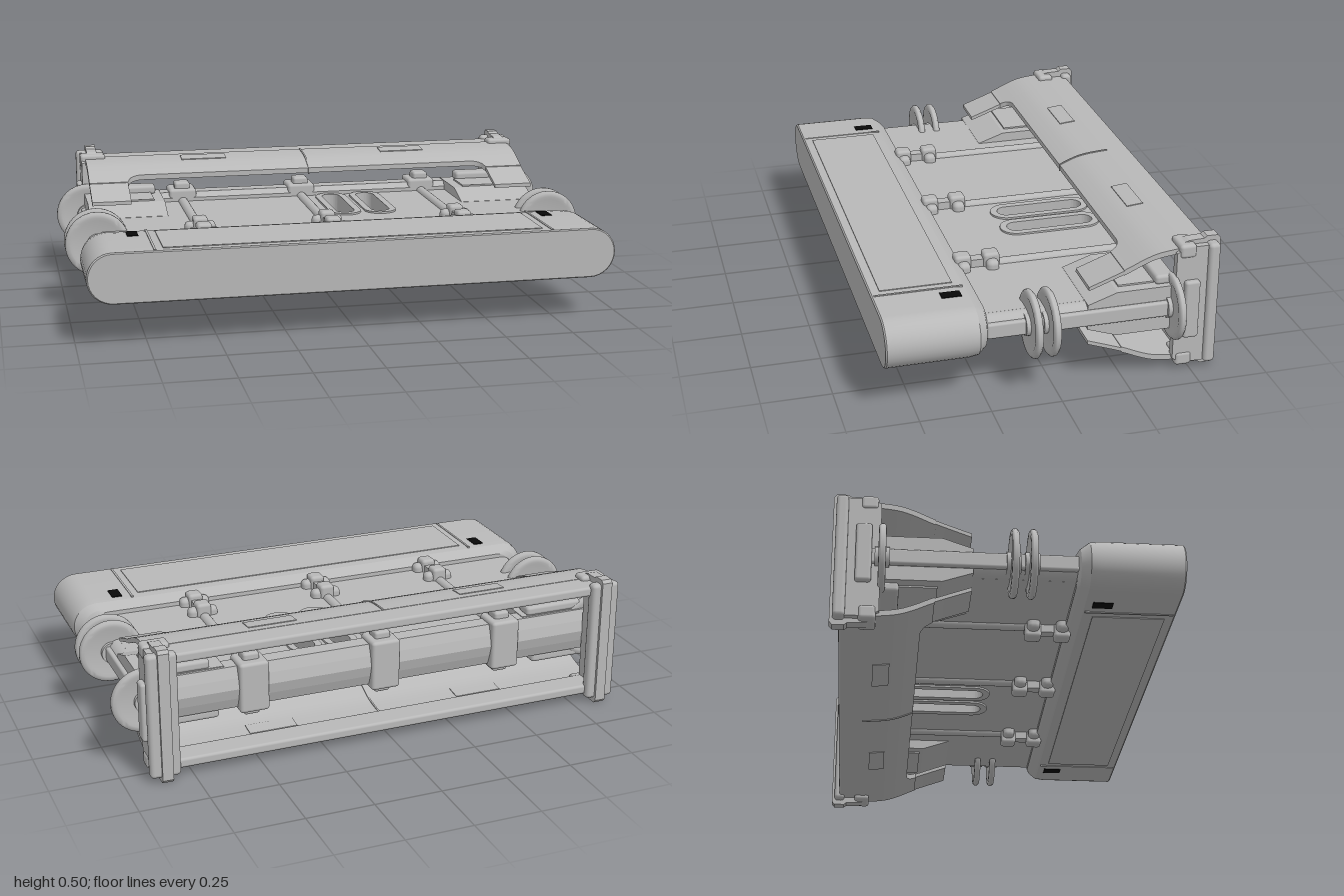
import * as THREE from 'three';
import { toCreasedNormals } from 'three/addons/utils/BufferGeometryUtils.js';
import { RoundedBoxGeometry } from 'three/addons/geometries/RoundedBoxGeometry.js';

export function createModel() {
  const grey = new THREE.MeshStandardMaterial({ color: 0xb8b8b8 });
  grey.name = 'body grey';
  const black = new THREE.MeshStandardMaterial({ color: 0x080808 });
  black.name = 'vent black';

  // The body is symmetric about its mid height, so it is built around y = 0
  const body = new THREE.Group();
  body.name = 'body';
  body.position.y = 0.25;

  const add = (name, geo, mat = grey) => {
    const m = new THREE.Mesh(geo, mat);
    m.name = name;
    body.add(m);
    return m;
  };
  // Places a part and its half-turn copy (swaps left/right and top/bottom)
  const twice = (name, geo, mat = grey) => {
    add(name, geo, mat);
    add(name, geo, mat).rotation.z = Math.PI;
  };
  // Box from min/max ranges, optionally with rounded edges
  const box = (x0, x1, y0, y1, z0, z1, r = 0) => {
    const s = [x1 - x0, y1 - y0, z1 - z0];
    const g = r ? new RoundedBoxGeometry(...s, 2, r) : new THREE.BoxGeometry(...s);
    return g.translate((x0 + x1) / 2, (y0 + y1) / 2, (z0 + z1) / 2);
  };
  // Rod along z
  const rod = (x, y, z0, z1, r) =>
    new THREE.CylinderGeometry(r, r, z1 - z0, 24).rotateX(Math.PI / 2).translate(x, y, (z0 + z1) / 2);
  // Side profile of [z, y] points extruded from x0 to x1
  const sideExtrude = (pts, x0, x1) =>
    new THREE.ExtrudeGeometry(new THREE.Shape(pts.map(p => new THREE.Vector2(...p))),
      { depth: x1 - x0, bevelEnabled: false }).rotateY(-Math.PI / 2).translate(x1, 0, 0);

  // Front bumper: capsule sections lofted along z
  const capsule = (hx, hy) => {
    const pts = [];
    for (const side of [1, -1])
      for (let i = 0; i <= 16; i++) {
        const a = side * Math.PI / 2 - Math.PI / 2 + (i / 16 - 0.5) * Math.PI + (side < 0 ? 2 * Math.PI : 0);
        pts.push([side * (hx - hy) + Math.cos(a) * hy, Math.sin(a) * hy]);
      }
    return pts;
  };
  const sections = [[0.235, 0.89, 0.062], [0.245, 0.925, 0.07], [0.275, 0.955, 0.088],
    [0.31, 0.96, 0.092], [0.595, 0.96, 0.092], [0.6, 0.955, 0.088]];
  const pos = [], idx = [];
  const n = 34;
  for (const [z, hx, hy] of sections) for (const [x, y] of capsule(hx, hy)) pos.push(x, y, z);
  for (let s = 0; s < sections.length - 1; s++)
    for (let i = 0; i < n; i++) {
      const a = s * n + i, b = s * n + (i + 1) % n;
      idx.push(a, b, b + n, a, b + n, a + n);
    }
  const last = (sections.length - 1) * n;
  for (let i = 1; i < n - 1; i++) idx.push(0, i + 1, i, last, last + i, last + i + 1);
  const loft = new THREE.BufferGeometry();
  loft.setAttribute('position', new THREE.Float32BufferAttribute(pos, 3));
  loft.setIndex(idx);
  add('bumper', toCreasedNormals(loft, 0.35));
  twice('bumperPanel', box(-0.69, 0.69, 0.085, 0.095, 0.31, 0.565));
  for (const x of [-0.775, 0.775])
    twice('ventMark', box(x - 0.02, x + 0.02, 0.088, 0.0945, 0.3, 0.37), black);
  for (const x of [-0.72, 0.72])
    twice('bumperRib', box(x - 0.004, x + 0.004, 0.088, 0.0945, 0.28, 0.59));

  // Central deck with two slots
  const slot = (Type, x, r) => {
    const s = new Type();
    s.absarc(x, -0.05, r, 0, Math.PI, false);
    s.absarc(x, -0.31, r, Math.PI, 2 * Math.PI, false);
    s.closePath();
    return s;
  };
  const slab = (shape, y0, y1) =>
    new THREE.ExtrudeGeometry(shape, { depth: y1 - y0, bevelEnabled: false, curveSegments: 16 })
      .rotateX(Math.PI / 2).translate(0, y1, 0);
  const deck = new THREE.Shape([[-0.85, -0.45], [0.85, -0.45], [0.85, 0.25], [-0.85, 0.25]]
    .map(p => new THREE.Vector2(...p)));
  for (const x of [0.095, 0.235]) {
    deck.holes.push(slot(THREE.Path, x, 0.036));
    const rim = slot(THREE.Shape, x, 0.062);
    rim.holes.push(slot(THREE.Path, x, 0.036));
    add('slotRim', toCreasedNormals(slab(rim, -0.053, 0.053), 0.5));
  }
  add('deck', toCreasedNormals(slab(deck, -0.046, 0.046), 0.5));
  twice('deckEdge', rod(0.852, 0, -0.46, 0.25, 0.046));
  twice('sideRail', box(0.88, 0.905, -0.028, 0.028, -0.47, 0.24, 0.008));

  // Pipes and clips across the deck
  for (const x of [-0.5, -0.015, 0.49]) {
    for (const y of [0.042, -0.042]) add('pipe', rod(x, y, -0.42, 0.24, 0.02));
    for (const z of [0.12, 0.225]) {
      add('clip', box(x - 0.058, x + 0.058, -0.078, 0.078, z - 0.023, z + 0.023, 0.018));
      add('clipTop', box(x - 0.028, x + 0.028, -0.096, 0.096, z - 0.03, z + 0.03, 0.012));
    }
    add('clipBridge', box(x - 0.02, x + 0.02, -0.075, 0.075, 0.12, 0.225));
    add('rearClip', box(x - 0.055, x + 0.055, -0.095, 0.095, -0.485, -0.37, 0.012));
    add('rearClipTop', box(x - 0.03, x + 0.03, -0.12, 0.12, -0.45, -0.385, 0.01));
  }

  // Rear beam with a pointed back edge, and ramps at both ends
  add('rearBeam', sideExtrude([[-0.37, -0.06], [-0.39, -0.08], [-0.45, -0.08], [-0.465, -0.04],
    [-0.475, 0], [-0.465, 0.04], [-0.45, 0.08], [-0.39, 0.08], [-0.37, 0.06]], -0.86, 0.86));
  for (const [x0, x1] of [[0.59, 0.89], [-0.89, -0.59]]) {
    twice('ramp', sideExtrude([[-0.12, 0.03], [-0.12, 0.047], [-0.225, 0.083], [-0.44, 0.083], [-0.44, 0.03]], x0, x1));
    twice('rampPanel', box(x0 + 0.04, x1 - 0.04, 0.08, 0.089, -0.37, -0.24));
    twice('rampStep', box(x0 + 0.05, x1 - 0.02, 0.08, 0.115, -0.44, -0.37, 0.012));
  }

  // Curved wings: boxes bent along a side curve, with a shaped front edge
  const curve = new THREE.SplineCurve([[-0.57, 0.212], [-0.47, 0.209], [-0.38, 0.2], [-0.32, 0.181],
    [-0.25, 0.15], [-0.12, 0.102]].map(p => new THREE.Vector2(...p)));
  const path = curve.getPoints(60);
  const height = z => {
    const i = Math.max(1, path.findIndex(p => p.x >= z));
    const a = path[i - 1], b = path[i];
    return a.y + (b.y - a.y) * (z - a.x) / (b.x - a.x);
  };
  const sheet = (x0, x1, back, edge, thick, segX) => {
    const g = new THREE.BoxGeometry(x1 - x0, 1, 1, segX, 1, 14).translate((x0 + x1) / 2, 0, 0);
    const p = g.attributes.position;
    for (let i = 0; i < p.count; i++) {
      const z = back + (edge(p.getX(i)) - back) * (p.getZ(i) + 0.5);
      p.setXYZ(i, p.getX(i), height(z) + p.getY(i) * thick, z);
    }
    g.computeVertexNormals();
    return g;
  };
  const frontEdge = x => {
    const t = Math.min(1, Math.max(0, (Math.abs(x) - 0.67) / 0.06));
    return -0.25 - 0.04 * Math.sqrt(1 - t * t);
  };
  twice('wing', sheet(-0.88, 0.88, -0.48, frontEdge, 0.02, 176));
  twice('wingSeam', sheet(-0.003, 0.003, -0.48, () => -0.288, 0.027, 1));
  for (const [x0, x1] of [[0.73, 0.88], [-0.88, -0.73]])
    twice('wingFlap', sheet(x0, x1, -0.255, () => -0.125, 0.014, 2));
  twice('wingBar', box(-0.86, 0.86, 0.182, 0.218, -0.57, -0.47, 0.01));
  for (const x of [-0.41, 0.41])
    twice('wingBump', sheet(x - 0.09, x + 0.09, -0.45, () => -0.39, 0.026, 2));

  // End columns at the back
  twice('endPlate', sideExtrude([[-0.435, -0.205], [-0.47, -0.225], [-0.58, -0.225], [-0.58, 0.225],
    [-0.47, 0.225], [-0.435, 0.205]], 0.865, 0.895));
  twice('endColumn', box(0.8, 0.91, -0.232, 0.232, -0.59, -0.548, 0.014));
  twice('endSpine', sideExtrude([[-0.47, -0.235], [-0.485, -0.24], [-0.54, -0.242], [-0.55, -0.25], [-0.59, -0.25],
    [-0.6, -0.238], [-0.6, 0.238], [-0.59, 0.25], [-0.55, 0.25], [-0.54, 0.242], [-0.485, 0.24], [-0.47, 0.235]],
  0.832, 0.872));
  for (const y of [-0.21, 0.21])
    twice('endCap', box(0.8, 0.9, y - 0.025, y + 0.025, -0.505, -0.445, 0.012));
  twice('endBracket', box(0.88, 0.915, -0.12, 0.1, -0.52, -0.465, 0.01));

  // Side rollers: discs with rounded rims
  const discProfile = [[0, -0.01], [0.09, -0.01], [0.1, -0.013], [0.113, -0.012], [0.12, -0.005],
    [0.12, 0.005], [0.113, 0.012], [0.1, 0.013], [0.09, 0.01], [0, 0.01]];
  const disc = toCreasedNormals(new THREE.LatheGeometry(
    discProfile.map(p => new THREE.Vector2(...p)), 48).rotateX(Math.PI / 2), 0.8);
  for (const z of [0.08, 0.017, -0.43]) {
    twice('roller', disc.clone().translate(0.88, 0, z));
    twice('rollerHub', rod(0.88, 0, z - 0.025, z + 0.025, 0.04));
  }

  const group = new THREE.Group();
  group.name = 'model';
  group.add(body);
  return group;
}
